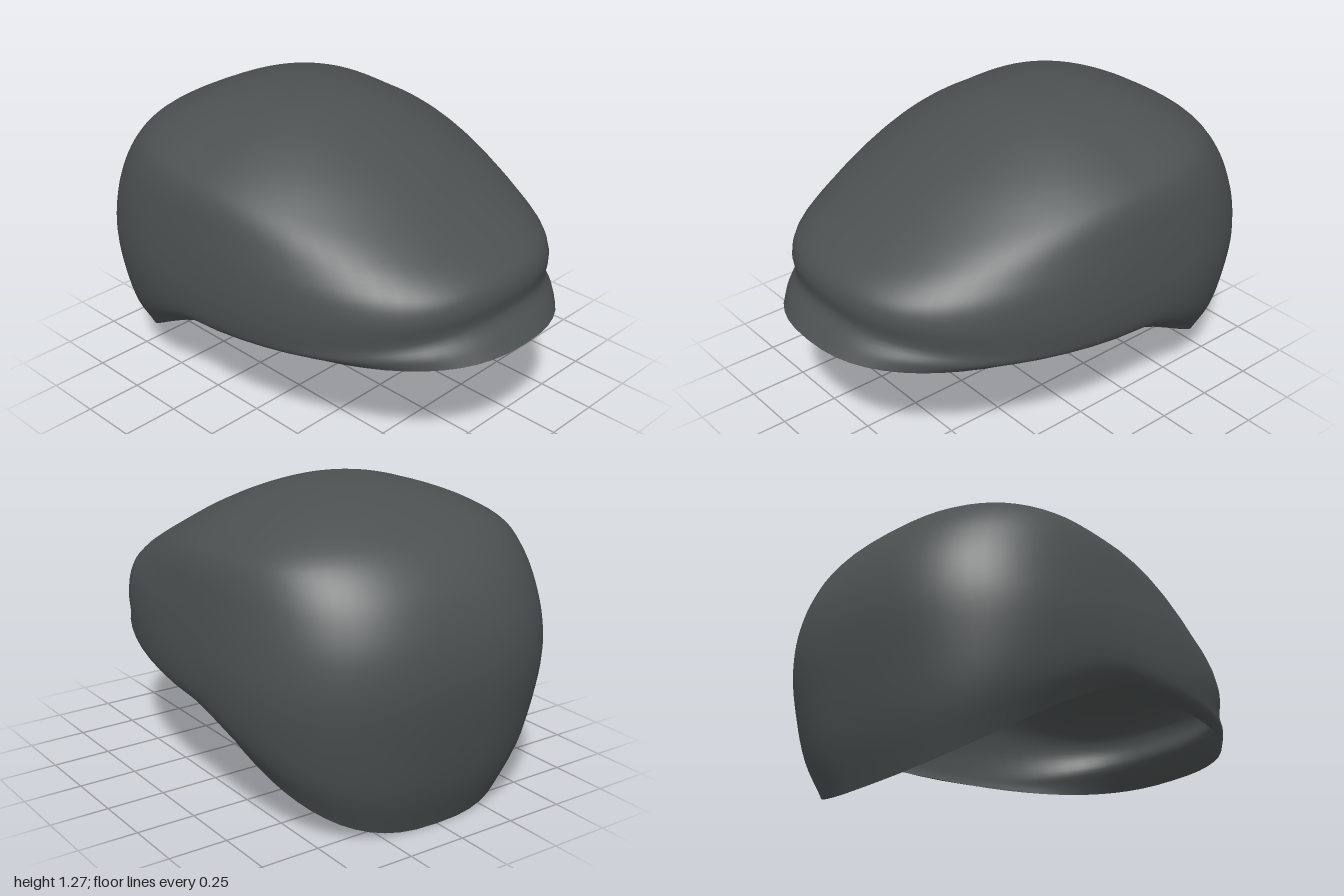
import * as THREE from 'three';

// Rings from rim to crown: [front z, front y, half width, side y, back z, back y,
//   z of widest point, front squareness, back squareness, front rise power]
const RINGS = [
  [1.0, 0.55, 0.635, 0.428, -0.85, 0.0, -0.16, 2.45, 2.55, 0.9],
  [0.96, 0.6, 0.685, 0.455, -0.92, 0.18, -0.18, 2.45, 2.6, 1.3],
  [0.912, 0.66, 0.708, 0.51, -0.97, 0.4, -0.22, 2.45, 2.6, 1.9],
  [0.916, 0.735, 0.715, 0.63, -1.0, 0.6, -0.25, 2.5, 2.6, 1.6],
  [0.9, 0.79, 0.702, 0.78, -0.995, 0.74, -0.25, 2.45, 2.6, 1.4],
  [0.85, 0.84, 0.685, 0.89, -0.97, 0.85, -0.25, 2.3, 2.55, 1.5],
  [0.72, 0.91, 0.662, 0.99, -0.91, 0.98, -0.24, 2.2, 2.5, 1.5],
  [0.59, 0.98, 0.625, 1.055, -0.8, 1.105, -0.23, 2.1, 2.5, 1.5],
  [0.36, 1.105, 0.52, 1.13, -0.65, 1.19, -0.22, 2.1, 2.4, 1.5],
  [0.15, 1.2, 0.35, 1.212, -0.51, 1.242, -0.21, 2.1, 2.3, 1.5],
  [-0.04, 1.26, 0.18, 1.26, -0.36, 1.27, -0.2, 2, 2.1, 1.5],
  [-0.2, 1.274, 0, 1.274, -0.2, 1.274, -0.2, 2, 2, 1.5],
];
const COLS = 64, ROWS = 44;

// Point on a ring; angle 0 is the front, a quarter turn is the left side
function ringPoint([zF, yF, w, yS, zB, yB, zc, nF, nB, rise], a) {
  const c = Math.cos(a), s = Math.sin(a);
  const front = c >= 0;
  const power = 2 / (front ? nF : nB);
  const u = Math.pow(Math.abs(c), power);
  const x = w * Math.sign(s) * Math.pow(Math.abs(s), power);
  return front
    ? new THREE.Vector3(x, yS + (yF - yS) * Math.pow(u, rise), zc + (zF - zc) * u)
    : new THREE.Vector3(x, yS + (yB - yS) * Math.pow(u, 1.25), zc + (zB - zc) * u);
}

// Skin the rings with one smooth curve per column
function skin(rings, inward) {
  const points = [], index = [];
  for (let i = 0; i < COLS; i++) {
    const a = (i / COLS) * Math.PI * 2;
    points.push(...new THREE.CatmullRomCurve3(rings.map(r => ringPoint(r, a))).getPoints(ROWS));
    const p = i * (ROWS + 1), q = ((i + 1) % COLS) * (ROWS + 1);
    for (let j = 0; j < ROWS; j++) {
      const [b, c, d, e] = [p + j, q + j, q + j + 1, p + j + 1];
      if (inward) index.push(b, d, c, b, e, d);
      else index.push(b, c, d, b, d, e);
    }
  }
  const geo = new THREE.BufferGeometry().setFromPoints(points);
  geo.setIndex(index);
  geo.computeVertexNormals();
  return geo;
}

export function createModel() {
  const cloth = new THREE.MeshStandardMaterial({ color: 0x4b5050 });
  cloth.name = 'charcoal cloth';

  // Crown and brim in one smooth skin
  const shell = new THREE.Mesh(skin(RINGS, false), cloth);
  shell.name = 'crownAndBrim';

  // Lining: the same rings drawn inward by the cloth's thickness, meeting the shell at the rim
  const t = 0.018;
  const inner = RINGS.map((r, k) => {
    if (k === 0) return r;
    const [zF, yF, w, yS, zB, yB, ...rest] = r;
    const drop = t * k / (RINGS.length - 1);
    const inset = w > 0 ? t : 0;
    return [zF - inset, yF - drop, Math.max(w - t, 0), yS - drop, zB + inset, yB - drop, ...rest];
  });
  const lining = new THREE.Mesh(skin(inner, true), cloth);
  lining.name = 'lining';

  const cap = new THREE.Group();
  cap.name = 'flatCap';
  cap.add(shell, lining);
  return cap;
}
